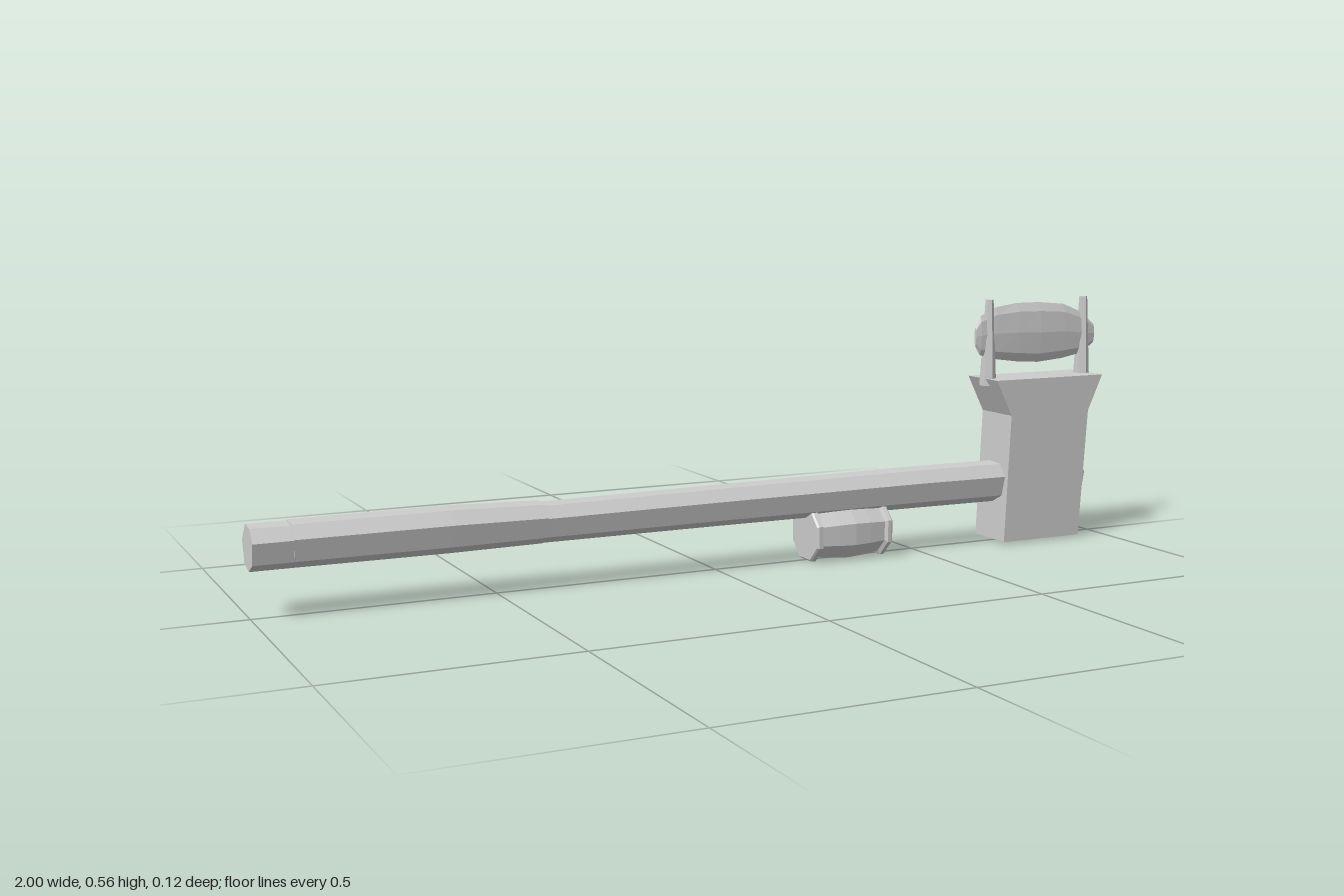
import * as THREE from 'three';

const steel = new THREE.MeshStandardMaterial({ color: 0xcccccc });
steel.name = 'plain grey';

// Faceted skin over rings of points, each ring counter-clockwise seen from the far end
function loft(rings) {
  const pos = [];
  const tri = (...pts) => pts.forEach((p) => pos.push(...p));
  const n = rings[0].length;
  for (let i = 0; i < rings.length - 1; i++) {
    for (let j = 0; j < n; j++) {
      const k = (j + 1) % n;
      const [a, b, c, d] = [rings[i][j], rings[i][k], rings[i + 1][k], rings[i + 1][j]];
      tri(a, b, d);
      tri(b, c, d);
    }
  }
  const first = rings[0], last = rings[rings.length - 1];
  for (let j = 1; j < n - 1; j++) {
    tri(last[0], last[j], last[j + 1]);
    tri(first[0], first[j + 1], first[j]);
  }
  const g = new THREE.BufferGeometry();
  g.setAttribute('position', new THREE.Float32BufferAttribute(pos, 3));
  g.computeVertexNormals();
  return g;
}

// Regular or squashed ring around the x axis
function ringX(x, y, ry, rz, sides, phase = 0) {
  return Array.from({ length: sides }, (_, j) => {
    const t = phase + (j / sides) * Math.PI * 2;
    return [x, y + ry * Math.sin(t), -rz * Math.cos(t)];
  });
}

export function createModel() {
  const model = new THREE.Group();
  const add = (name, geometry) => {
    const m = new THREE.Mesh(geometry, steel);
    m.name = name;
    model.add(m);
    return m;
  };

  // Seven-sided handle section as [z, y] offsets from the axis
  const section = [
    [0.038, -0.03], [0.003, -0.049], [-0.037, -0.038], [-0.052, 0.007],
    [-0.017, 0.045], [0.025, 0.042], [0.047, 0.015],
  ];
  const handleRing = (x, y, s) => section.map(([z, dy]) => [x, y + dy * s, z * s]);

  add('handle', loft([
    handleRing(-1, 0.142, 0.97),
    handleRing(-0.6, 0.142, 0.97),
    handleRing(-0.39, 0.14, 0.89),
    handleRing(0, 0.142, 0.93),
    handleRing(0.5, 0.143, 0.99),
    handleRing(0.95, 0.14, 1),
  ]));
  add('grip', loft([
    handleRing(-0.92, 0.143, 0.99),
    handleRing(-0.6, 0.143, 1.01),
    handleRing(-0.4, 0.141, 0.93),
  ]));

  // Hammer head: tapering block with a flared top
  const outline = new THREE.Shape([
    [0.717, 0.005], [0.928, 0.005], [0.947, 0.3], [0.985, 0.383],
    [0.688, 0.383], [0.73, 0.3],
  ].map(([x, y]) => new THREE.Vector2(x, y)));
  const head = new THREE.ExtrudeGeometry(outline, { depth: 0.116, bevelEnabled: false });
  head.translate(0, 0, -0.058);
  add('head', head);

  // Two tapering posts on the head
  for (const [name, x] of [['innerPost', 0.702], ['outerPost', 0.968]]) {
    const g = new THREE.CylinderGeometry(0.0095, 0.02, 0.198, 6).toNonIndexed();
    g.scale(0.95, 1, 1);
    g.computeVertexNormals();
    add(name, g).position.set(x, 0.465, 0);
  }

  // Thin faceted lens held between the posts: x, centre y, half height, half thickness
  const lens = [
    [0.665, 0.48, 0.022, 0.004], [0.678, 0.482, 0.045, 0.007],
    [0.72, 0.486, 0.06, 0.01], [0.78, 0.486, 0.068, 0.013],
    [0.84, 0.484, 0.07, 0.014], [0.91, 0.484, 0.064, 0.012],
    [0.965, 0.478, 0.048, 0.009], [1, 0.475, 0.022, 0.004],
  ];
  add('lens', loft(lens.map(([x, y, h, t]) => ringX(x, y, h, t, 8, Math.PI / 2))));

  // Eight-sided drum under the handle, with a swelling middle between two rims
  const drum = [
    [0.222, 0.06], [0.226, 0.064], [0.236, 0.064], [0.24, 0.055],
    [0.28, 0.06], [0.32, 0.063], [0.36, 0.06],
    [0.398, 0.055], [0.402, 0.064], [0.411, 0.064], [0.415, 0.06],
  ];
  add('drum', loft(drum.map(([x, r]) => ringX(x, 0.0592, r, r, 8, Math.PI / 8))));

  return model;
}
